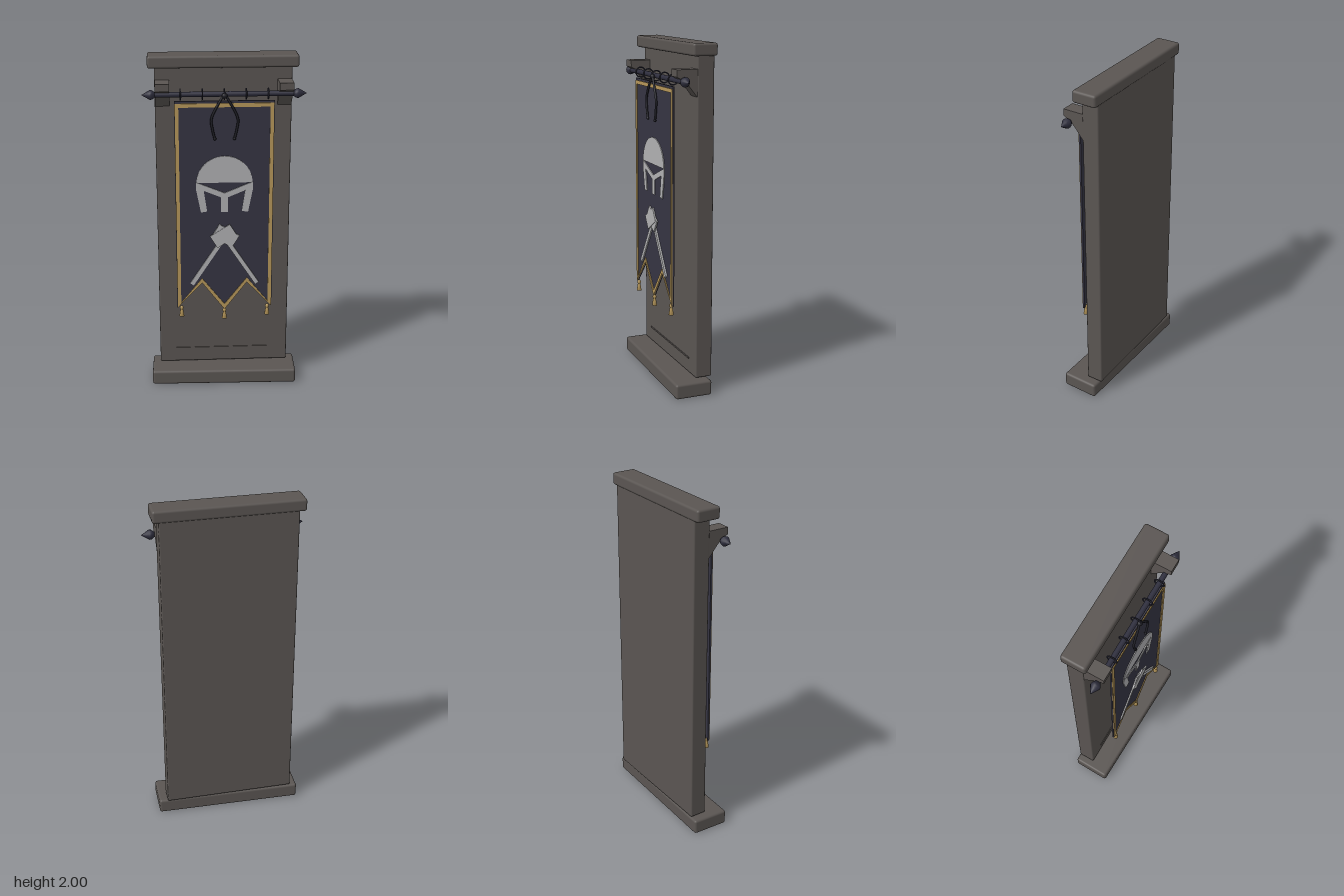
import * as THREE from 'three';
import { RoundedBoxGeometry } from 'three/addons/geometries/RoundedBoxGeometry.js';

const mat = (name, color) => {
  const m = new THREE.MeshStandardMaterial({ color });
  m.name = name;
  return m;
};

export function createModel() {
  const stone = mat('stone', 0x5a5552);
  const cloth = mat('dark cloth', 0x353442);
  const gold = mat('gold trim', 0xb6975a);
  const silver = mat('silver emblem', 0xb0b0b2);
  const iron = mat('iron', 0x2f2f3e);
  const cord = mat('black cord', 0x1e1e25);

  const root = new THREE.Group();
  root.name = 'wallBanner';
  const add = (name, geo, material, x = 0, y = 0, z = 0) => {
    const m = new THREE.Mesh(geo, material);
    m.name = name;
    m.position.set(x, y, z);
    root.add(m);
    return m;
  };
  const v2 = pts => pts.map(([x, y]) => new THREE.Vector2(x, y));
  // flat plate from an outline, with its back at z
  const plate = (name, pts, material, z, depth, holes = []) => {
    const s = new THREE.Shape(v2(pts));
    holes.forEach(h => s.holes.push(new THREE.Path(v2(h))));
    return add(name, new THREE.ExtrudeGeometry(s, { depth, bevelEnabled: false }), material, 0, 0, z);
  };
  const mirror = pts => pts.map(([x, y]) => [-x, y]).reverse();

  // stone slab, cap and slightly turned base
  add('slab', new RoundedBoxGeometry(0.776, 1.85, 0.1, 2, 0.008), stone, 0, 1.02, -0.069);
  add('cap', new RoundedBoxGeometry(0.848, 0.07, 0.145, 2, 0.014), stone, -0.002, 1.965, -0.052);
  add('base', new RoundedBoxGeometry(0.87, 0.088, 0.22, 2, 0.014), stone, 0, 0.044, 0).rotation.y = -0.024;
  add('carvedLine', new THREE.BoxGeometry(0.58, 0.008, 0.006), stone, 0, 0.185, -0.017);

  // corbels holding the rod
  const corbel = new THREE.ExtrudeGeometry(
    new THREE.Shape(v2([[0.022, 1.86], [-0.1, 1.86], [-0.1, 1.82], [-0.06, 1.8], [-0.03, 1.77], [0.018, 1.71], [0.022, 1.71]])),
    { depth: 0.08, bevelEnabled: false });
  corbel.rotateY(Math.PI / 2); // profile x becomes -z, depth becomes +x
  add('leftCorbel', corbel, stone, 0.305);
  add('rightCorbel', corbel, stone, -0.385);

  // rod with pointed finials and rings
  const rodY = 1.795, rodZ = 0.064;
  add('rod', new THREE.CylinderGeometry(0.015, 0.015, 0.8, 16), iron, 0, rodY, rodZ).rotation.z = Math.PI / 2;
  const finial = new THREE.LatheGeometry(v2([[0, 0], [0.015, 0], [0.026, 0.016], [0.028, 0.028], [0.018, 0.045], [0, 0.075]]), 12);
  for (const s of [1, -1]) {
    add(s > 0 ? 'leftFinial' : 'rightFinial', finial, iron, s * 0.385, rodY, rodZ).rotation.z = -s * Math.PI / 2;
  }
  for (const x of [-0.245, -0.122, 0, 0.122, 0.245]) {
    add('ring', new THREE.TorusGeometry(0.029, 0.004, 6, 20), iron, x, rodY, rodZ).rotation.y = Math.PI / 2;
  }

  // cloth with a zigzag hem and gold border
  plate('cloth', [[-0.28, 1.76], [-0.28, 0.505], [-0.132, 0.668], [0, 0.492], [0.132, 0.668], [0.28, 0.505], [0.28, 1.76]], cloth, 0.07, 0.01);
  plate('border',
    [[-0.277, 1.747], [-0.277, 0.508], [-0.132, 0.664], [0, 0.49], [0.132, 0.664], [0.277, 0.508], [0.277, 1.747]],
    gold, 0.079, 0.006,
    [[[-0.257, 1.725], [0.257, 1.725], [0.257, 0.538], [0.132, 0.692], [0, 0.524], [-0.132, 0.692], [-0.257, 0.538]]]);

  // tassels on the hem points
  const tassel = new THREE.LatheGeometry(v2([[0, 0], [0.015, 0], [0.009, 0.038], [0.006, 0.042], [0.012, 0.052], [0.008, 0.064], [0, 0.068]]), 10);
  for (const [x, y] of [[-0.255, 0.45], [0, 0.43], [0.255, 0.45]]) add('tassel', tassel, gold, x, y, 0.078);

  // helmet emblem: dome, brow, nose guard and cheek guards
  const dome = [];
  for (let i = 0; i <= 24; i++) {
    const a = Math.PI * i / 24;
    dome.push([0.16 * Math.cos(a), 1.285 + 0.157 * Math.sin(a)]);
  }
  plate('helmetDome', dome, silver, 0.079, 0.006);
  plate('helmetBrow', [[-0.162, 1.287], [-0.164, 1.245], [-0.12, 1.238], [0, 1.188], [0.12, 1.238], [0.164, 1.245], [0.162, 1.287], [0.13, 1.275], [0, 1.222], [-0.13, 1.275]], silver, 0.079, 0.006);
  plate('noseGuard', [[-0.02, 1.108], [0.02, 1.108], [0.02, 1.2], [-0.02, 1.2]], silver, 0.079, 0.006);
  const cheek = [[-0.164, 1.25], [-0.136, 1.106], [-0.1, 1.112], [-0.12, 1.242]];
  plate('rightCheekGuard', cheek, silver, 0.079, 0.006);
  plate('leftCheekGuard', mirror(cheek), silver, 0.079, 0.006);

  // crossed hammers
  const handle = [[-0.202, 0.665], [-0.182, 0.65], [0.03, 0.975], [0.01, 0.99]];
  const head = [[-0.03, 1.036], [-0.074, 0.964], [0.042, 0.891], [0.086, 0.963]];
  [handle, mirror(handle)].forEach((p, i) => plate('hammerHandle', p, silver, 0.079, 0.009 + i * 0.003));
  [head, mirror(head)].forEach((p, i) => plate('hammerHead', p, silver, 0.09 + i * 0.003, 0.009));

  // knotted cord hanging from the rod
  add('knot', new THREE.SphereGeometry(0.016, 12, 8), cord, 0, 1.79, 0.086);
  for (const s of [1, -1]) {
    const path = new THREE.CatmullRomCurve3([
      [0, 1.8, 0.086], [0.035, 1.745, 0.092], [0.074, 1.66, 0.095], [0.068, 1.6, 0.095], [0.055, 1.545, 0.095],
    ].map(([x, y, z]) => new THREE.Vector3(s * x, y, z)));
    add('cord', new THREE.TubeGeometry(path, 24, 0.007, 8), cord);
    add('cordEnd', new THREE.SphereGeometry(0.009, 8, 6), cord, s * 0.055, 1.547, 0.095);
  }
  return root;
}
